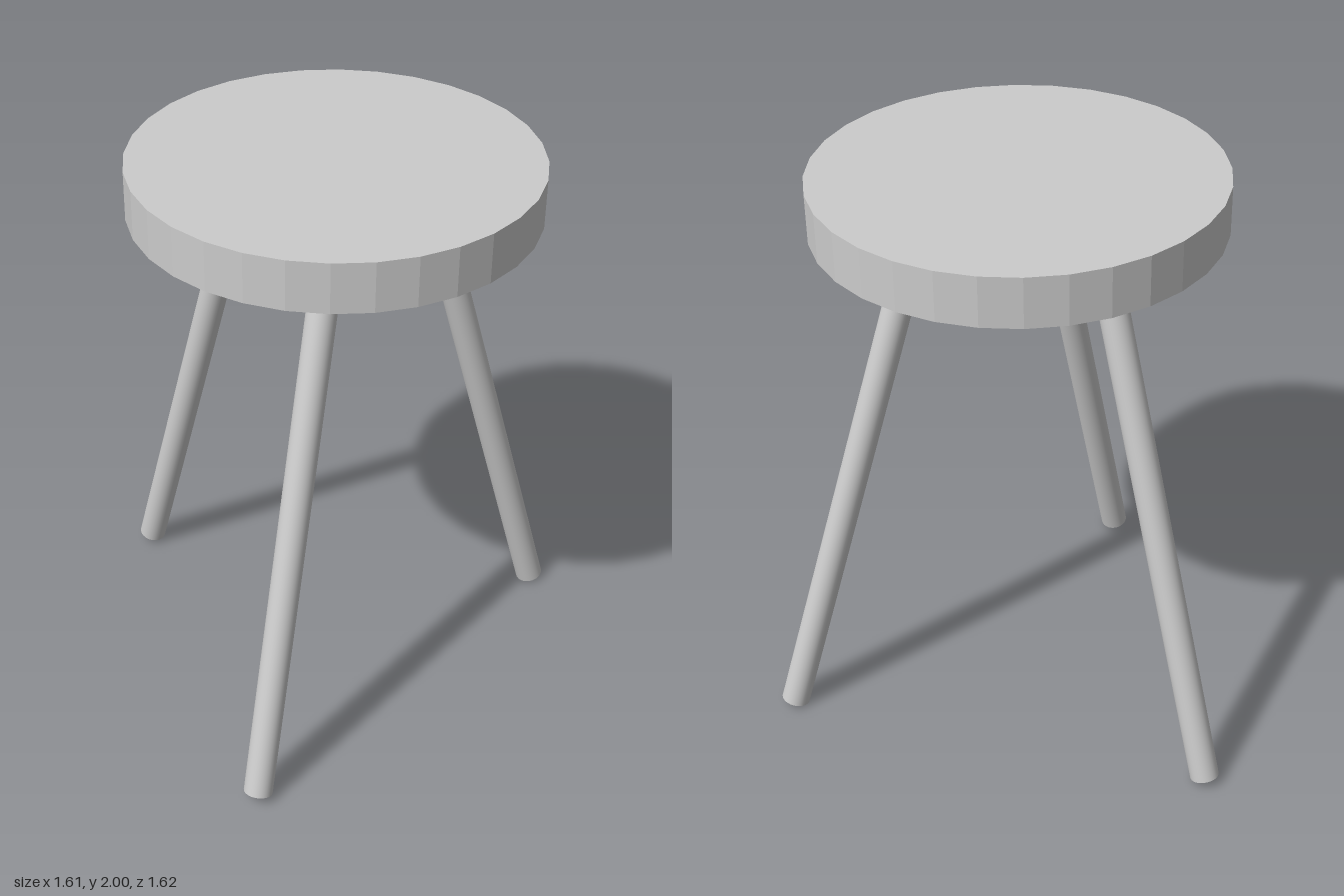
import * as THREE from 'three';

export function createModel() {
  const group = new THREE.Group();
  const smooth = new THREE.MeshStandardMaterial({ color: 0xcccccc });
  const faceted = new THREE.MeshStandardMaterial({ color: 0xcccccc, flatShading: true });

  // Round seat, set off-centre over the legs
  const seat = new THREE.Mesh(new THREE.CylinderGeometry(0.677, 0.677, 0.17, 32), faceted);
  seat.name = 'seat';
  seat.position.set(0.123, 1.915, -0.108);
  group.add(seat);

  // Splayed round legs: foot centre and the point where each meets the seat
  const legs = [
    ['rightLeg', [-0.757, 0.028, -0.35], [-0.243, 1.83, -0.195]],
    ['frontLeg', [0.25, 0.028, 0.762], [0.25, 1.83, 0.228]],
    ['backLeftLeg', [0.704, 0.0143, -0.76], [0.355, 1.83, -0.347]],
  ];
  const up = new THREE.Vector3(0, 1, 0);
  for (const [name, foot, top] of legs) {
    const a = new THREE.Vector3(...foot);
    const b = new THREE.Vector3(...top);
    const dir = b.clone().sub(a).normalize();
    b.addScaledVector(dir, 0.03); // sink the end into the seat
    const leg = new THREE.Mesh(new THREE.CylinderGeometry(0.05, 0.05, a.distanceTo(b), 32), smooth);
    leg.name = name;
    leg.position.copy(a).add(b).multiplyScalar(0.5);
    leg.quaternion.setFromUnitVectors(up, dir);
    group.add(leg);
  }
  return group;
}
